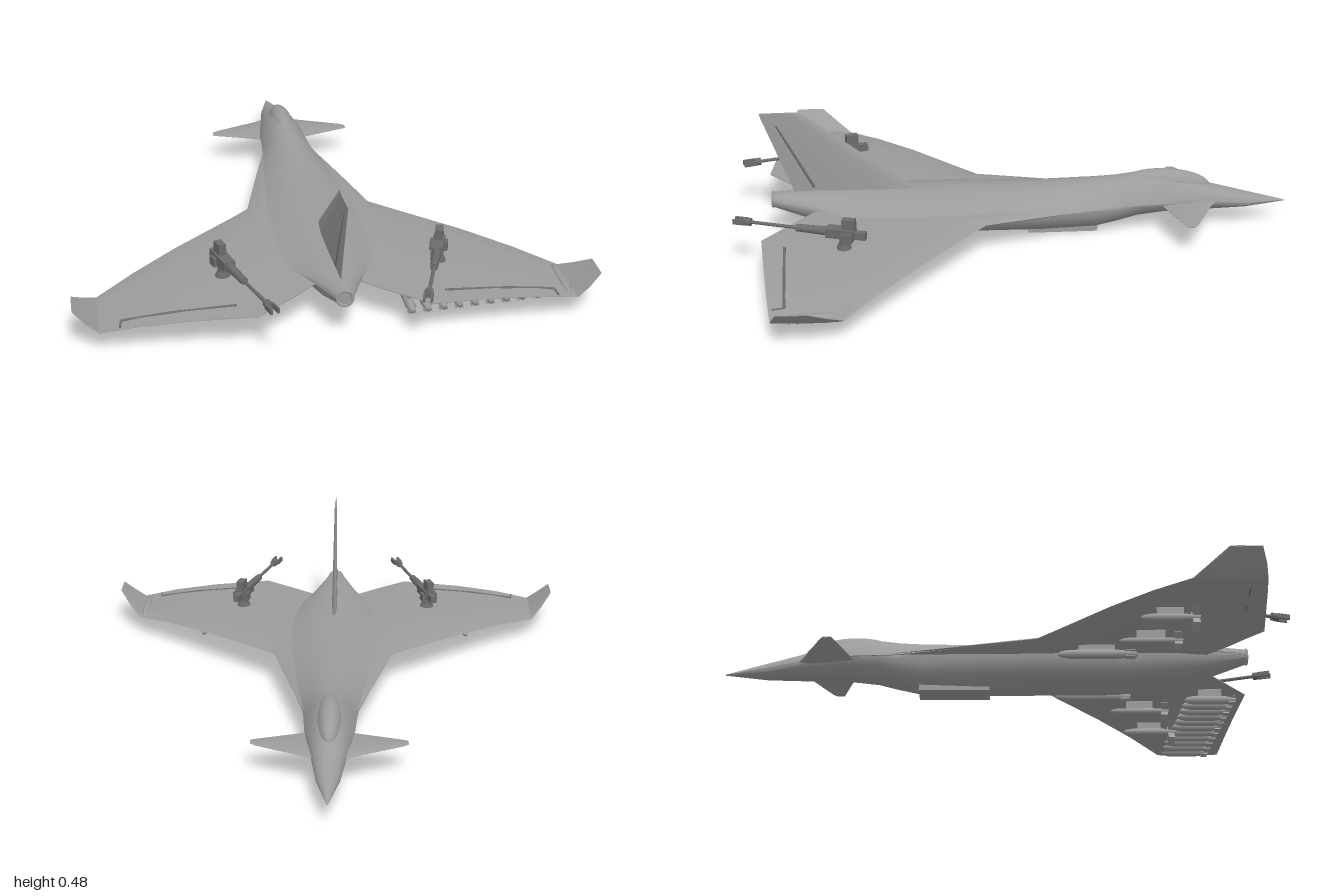
import * as THREE from 'three';
import { toCreasedNormals } from 'three/addons/utils/BufferGeometryUtils.js';

const skin = new THREE.MeshStandardMaterial({ color: 0x9c9c9c, side: THREE.DoubleSide });
const dark = new THREE.MeshStandardMaterial({ color: 0x6c6c6c, side: THREE.DoubleSide });

function add(parent, geometry, name, x = 0, y = 0, z = 0, material = skin) {
  const mesh = new THREE.Mesh(geometry, material);
  mesh.name = name;
  mesh.position.set(x, y, z);
  parent.add(mesh);
  return mesh;
}

// Skin a list of equal-length rings and cap both ends
function loft(rings) {
  const n = rings[0].length;
  const points = rings.flat();
  const index = [];
  for (let i = 0; i < rings.length - 1; i++) {
    for (let j = 0; j < n; j++) {
      const a = i * n + j, b = i * n + (j + 1) % n;
      index.push(a, b, a + n, b, b + n, a + n);
    }
  }
  const last = (rings.length - 1) * n;
  for (let j = 1; j < n - 1; j++) {
    index.push(0, j + 1, j, last, last + j, last + j + 1);
  }
  const geometry = new THREE.BufferGeometry().setFromPoints(points);
  geometry.setIndex(index);
  return toCreasedNormals(geometry, 0.7);
}

// Lifting surface from span stations [x, leading z, trailing z, y, half thickness]
const FOIL = [[0, 0], [0.05, 0.55], [0.25, 1], [0.6, 0.8], [1, 0.1], [1, -0.1], [0.6, -0.8], [0.25, -1], [0.05, -0.55]];
function surface(stations) {
  return loft(stations.map(([x, lead, trail, y, t]) =>
    FOIL.map(([u, h]) => new THREE.Vector3(x, y + h * t, lead + (trail - lead) * u))));
}

// Body section: top and belly arcs, each with its own width and fullness
function section([z, wTop, wBelly, top, mid, bottom, p, q]) {
  const ring = [], N = 16;
  const arc = (start, w, rise, power) => {
    for (let i = 0; i <= N; i++) {
      const a = start + Math.PI * i / N;
      ring.push(new THREE.Vector3(w * Math.cos(a), mid + rise * Math.pow(Math.abs(Math.sin(a)), 2 * power), z));
    }
  };
  arc(0, wTop, top - mid, p);
  arc(Math.PI, wBelly, bottom - mid, q);
  return ring;
}

// Straight round bar between two points
function bar(parent, name, from, to, r0, r1 = r0) {
  const a = new THREE.Vector3(...from), b = new THREE.Vector3(...to);
  const dir = b.clone().sub(a);
  const mesh = add(parent, new THREE.CylinderGeometry(r1, r0, dir.length(), 10), name, 0, 0, 0, dark);
  mesh.position.copy(a).add(b).multiplyScalar(0.5);
  mesh.quaternion.setFromUnitVectors(new THREE.Vector3(0, 1, 0), dir.normalize());
}

// Store pointing toward -z, with four tail fins and a pylon
function store(parent, name, x, y, z, length, r, finSpan, pylonTop) {
  const g = new THREE.Group();
  g.name = name;
  g.position.set(x, y, z);
  const profile = [[0, -0.5], [0.7, -0.44], [1, -0.32], [1, 0.25], [0.6, 0.5], [0, 0.5]]
    .map(([a, b]) => new THREE.Vector2(a * r, b * length));
  const body = add(g, new THREE.LatheGeometry(profile, 12), name + 'Body');
  body.rotation.x = Math.PI / 2;
  for (let i = 0; i < 2; i++) {
    const fin = add(g, new THREE.BoxGeometry(finSpan * 2, 0.002, length * 0.12), name + 'Fin', 0, 0, length * 0.42);
    fin.rotation.z = Math.PI / 4 + i * Math.PI / 2;
  }
  const h = pylonTop - y;
  add(g, new THREE.BoxGeometry(0.008, h, length * 0.45), name + 'Pylon', 0, h / 2, 0);
  parent.add(g);
}

// Swivelling gun with a long rearward barrel
function gunMount() {
  const g = new THREE.Group();
  g.name = 'gunMount';
  const block = (name, w, h, d, x, y, z) => add(g, new THREE.BoxGeometry(w, h, d), name, x, y, z, dark);
  bar(g, 'gunBase', [0, 0, 0], [0, 0.018, 0], 0.028, 0.022);
  bar(g, 'gunPost', [0, 0.015, 0], [0, 0.055, 0], 0.018, 0.015);
  block('gunReceiver', 0.04, 0.034, 0.1, 0, 0.062, 0.01);
  block('gunSight', 0.026, 0.04, 0.045, 0, 0.095, -0.02);
  block('gunTrunnion', 0.06, 0.03, 0.035, 0, 0.052, -0.02);
  block('gunBreech', 0.024, 0.026, 0.04, 0, 0.058, -0.06);
  bar(g, 'gunSleeve', [0, 0.062, 0.05], [0, 0.062, 0.17], 0.016, 0.013);
  bar(g, 'gunBarrel', [0, 0.062, 0.16], [0, 0.064, 0.36], 0.006);
  bar(g, 'muzzleCollar', [0, 0.064, 0.335], [0, 0.064, 0.36], 0.014);
  for (const s of [-1, 1]) block('muzzleProng', 0.007, 0.018, 0.045, s * 0.012, 0.064, 0.376);
  return g;
}

export function createModel() {
  const model = new THREE.Group();
  model.name = 'airframe';

  // Fuselage: z, top and belly half widths, top, middle, bottom, top and belly fullness
  add(model, loft([
    [-1, 0.002, 0.002, 0.082, 0.08, 0.078, 0.5, 0.5],
    [-0.85, 0.04, 0.04, 0.12, 0.088, 0.064, 0.55, 0.6],
    [-0.73, 0.058, 0.058, 0.152, 0.104, 0.06, 0.6, 0.75],
    [-0.64, 0.072, 0.07, 0.19, 0.112, 0.058, 0.8, 0.8],
    [-0.54, 0.086, 0.08, 0.211, 0.116, 0.056, 0.95, 0.8],
    [-0.45, 0.091, 0.086, 0.208, 0.116, 0.046, 0.95, 0.7],
    [-0.38, 0.097, 0.093, 0.198, 0.115, 0.028, 0.95, 0.55],
    [-0.3, 0.117, 0.1, 0.19, 0.115, 0.01, 1.05, 0.5],
    [-0.1, 0.158, 0.115, 0.179, 0.116, 0.005, 1.3, 0.5],
    [0.15, 0.205, 0.12, 0.174, 0.118, 0.008, 1.5, 0.5],
    [0.4, 0.2, 0.115, 0.176, 0.12, 0.008, 1.6, 0.5],
    [0.6, 0.135, 0.1, 0.177, 0.125, 0.035, 1.1, 0.5],
    [0.73, 0.078, 0.07, 0.176, 0.135, 0.07, 0.65, 0.5],
    [0.86, 0.03, 0.03, 0.172, 0.145, 0.117, 0.5, 0.5],
  ].map(section)), 'fuselage');

  // Exhaust ring
  add(model, new THREE.TorusGeometry(0.026, 0.005, 8, 24), 'exhaustRing', 0, 0.145, 0.865);

  // Canopy blended into the spine
  const canopy = add(model, new THREE.SphereGeometry(1, 28, 18), 'canopy', 0, 0.163, -0.56);
  canopy.scale.set(0.043, 0.056, 0.16);
  canopy.rotation.x = -0.08;

  // Flat air scoop under the belly
  add(model, new THREE.BoxGeometry(0.09, 0.03, 0.25), 'airScoop', 0, 0.015, -0.18);

  // Wings, winglets, foreplanes, hinge lines and guns on both sides
  for (const s of [1, -1]) {
    const side = new THREE.Group();
    side.name = s > 0 ? 'leftSide' : 'rightSide';
    side.scale.x = s;
    model.add(side);
    add(side, surface([
      [0.03, -0.43, 0.68, 0.125, 0.014],
      [0.09, -0.4, 0.73, 0.122, 0.014],
      [0.15, -0.17, 0.785, 0.12, 0.014],
      [0.218, 0.11, 0.84, 0.119, 0.013],
      [0.28, 0.167, 0.893, 0.117, 0.012],
      [0.5, 0.356, 0.871, 0.107, 0.01],
      [0.65, 0.487, 0.855, 0.092, 0.008],
      [0.78, 0.6, 0.838, 0.07, 0.005],
      [0.82, 0.65, 0.831, 0.1, 0.004],
      [0.863, 0.71, 0.815, 0.14, 0.002],
    ]), 'wing');
    add(side, surface([
      [0.03, -0.75, -0.535, 0.106, 0.009],
      [0.085, -0.715, -0.54, 0.106, 0.008],
      [0.245, -0.64, -0.592, 0.108, 0.004],
      [0.263, -0.627, -0.598, 0.108, 0.002],
    ]), 'foreplane');
    bar(side, 'flapHinge', [0.34, 0.118, 0.81], [0.55, 0.105, 0.802], 0.005);
    bar(side, 'flapHinge', [0.55, 0.105, 0.802], [0.71, 0.085, 0.795], 0.005);
    bar(side, 'flapEnd', [0.71, 0.085, 0.795], [0.715, 0.083, 0.835], 0.003);
    const gun = gunMount();
    gun.position.set(0.362, 0.118, 0.605);
    gun.rotation.y = -0.31;
    side.add(gun);
    // Larger stores carried on both wings
    store(side, 'slimBomb', 0.19, 0.072, 0.32, 0.28, 0.016, 0.018, 0.115);
    store(side, 'finnedMissile', 0.315, 0.066, 0.5, 0.22, 0.011, 0.034, 0.11);
    store(side, 'heavyMissile', 0.51, 0.06, 0.55, 0.2, 0.013, 0.05, 0.105);
  }

  // Row of small bombs near the trailing edge of one wing
  for (let i = 0; i < 11; i++) {
    const x = 0.225 + i * 0.0535;
    const wingY = 0.117 - 0.04 * Math.pow((x - 0.2) / 0.56, 2);
    store(model, 'smallBomb', x, 0.072, 0.755 - i * 0.005, 0.19, 0.016, 0.019, Math.max(wingY, 0.085));
  }

  // Tail fin, lofted along its height and turned upright
  const fin = add(model, surface([
    [0.15, 0.32, 0.78, 0, 0.011],
    [0.18, 0.36, 0.79, 0, 0.01],
    [0.46, 0.73, 0.893, 0, 0.005],
    [0.478, 0.76, 0.898, 0, 0.004],
  ]), 'tailFin');
  fin.rotation.z = Math.PI / 2;
  bar(model, 'rudderHinge', [0, 0.19, 0.715], [0, 0.43, 0.84], 0.007, 0.004);

  // The airframe sits very slightly yawed
  model.rotation.y = -0.009;
  model.position.x = 0.006;
  const root = new THREE.Group();
  root.name = 'aircraft';
  root.add(model);
  return root;
}
